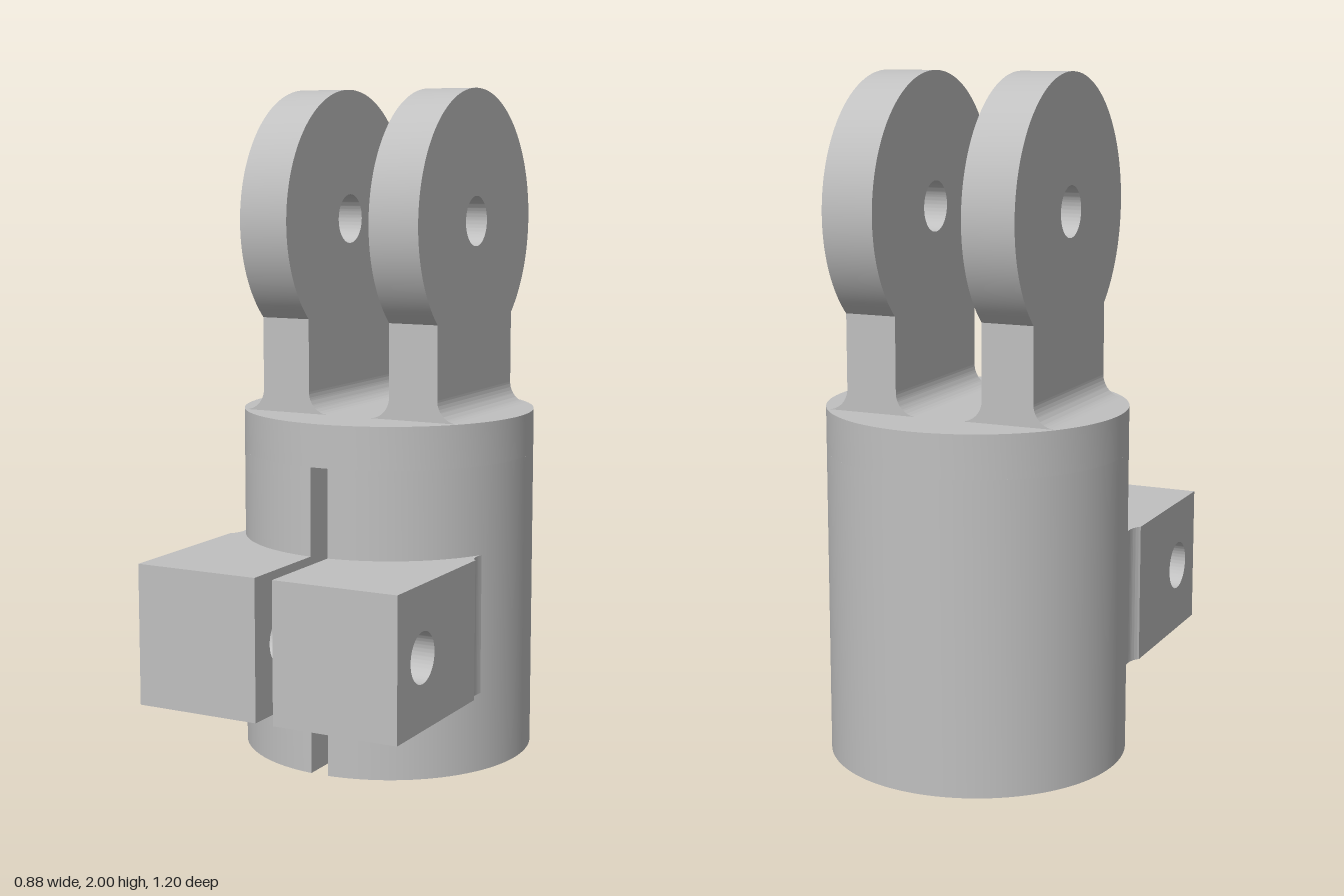
import * as THREE from 'three';
import { toCreasedNormals } from 'three/addons/utils/BufferGeometryUtils.js';

const CZ = -0.157;      // axis of the socket
const R = 0.442, BORE = 0.254, SLOT = 0.028;
const TOP = 1.042, BORE_TOP = 0.915;

export function createModel() {
  const model = new THREE.Group();
  model.name = 'clampFork';
  const grey = new THREE.MeshStandardMaterial({ color: 0xc0c0c0 });
  grey.name = 'plain grey';

  const extrude = (shape, depth) =>
    new THREE.ExtrudeGeometry(shape, { depth, bevelEnabled: false, curveSegments: 64 });
  // shape in (x, z), raised from y0 to y1
  const upright = (shape, y0, y1) => extrude(shape, y1 - y0).rotateX(Math.PI / 2).translate(0, y1, 0);
  // shape in (z, y), spanning x0 to x1
  const sideways = (shape, x0, x1) => extrude(shape, x1 - x0).rotateY(-Math.PI / 2).translate(x1, 0, 0);
  const add = (name, geometry, parent = model) => {
    const mesh = new THREE.Mesh(toCreasedNormals(geometry, 0.4), grey);
    mesh.name = name;
    parent.add(mesh);
  };
  const addHole = (shape, x, y, r) => {
    shape.holes.push(new THREE.Path().absarc(x, y, r, 0, Math.PI * 2, true));
    return shape;
  };

  // Split tube, open at the bottom and slotted at the front
  const ao = Math.asin(SLOT / R), ai = Math.asin(SLOT / BORE), q = Math.PI / 2;
  const tube = new THREE.Shape()
    .absarc(0, CZ, R, q + ao, q + Math.PI * 2 - ao, false)
    .absarc(0, CZ, BORE, q + Math.PI * 2 - ai, q + ai, true);
  tube.closePath();
  add('splitSocket', upright(tube, 0, BORE_TOP));

  // Solid cap above the bore
  add('socketCap', upright(new THREE.Shape().absarc(0, CZ, R, 0, Math.PI * 2, false), BORE_TOP, TOP));

  for (const [side, s] of [['left', 1], ['right', -1]]) {
    const span = (a, b) => (s > 0 ? [a, b] : [-b, -a]);

    // Clamp ear with a cross bolt hole
    const ear = new THREE.Group();
    ear.name = side + 'ClampEar';
    model.add(ear);
    const block = new THREE.Shape([[0.105, 0.237], [0.598, 0.237], [0.598, 0.652], [0.105, 0.652]]
      .map(([z, y]) => new THREE.Vector2(z, y)));
    add(side + 'EarBlock', sideways(addHole(block, 0.445, 0.445, 0.074), ...span(SLOT, 0.415)), ear);

    // Curved root blending the ear into the socket
    const root = new THREE.Shape();
    root.moveTo(s * 0.3, 0.105);
    root.lineTo(s * 0.415, 0.105);
    root.quadraticCurveTo(s * 0.39, 0.08, s * 0.401, 0.027);
    root.lineTo(s * 0.36, 0);
    root.closePath();
    add(side + 'EarRoot', upright(root, 0.237, 0.652), ear);

    // Fork lug: round eye on a straight neck
    const lug = new THREE.Group();
    lug.name = side + 'ForkLug';
    model.add(lug);
    const f = 0.065, z = -0.156, w = 0.26, r = 0.388, eyeY = 1.612;
    const a = Math.acos(w / r);
    const eye = new THREE.Shape();
    eye.moveTo(z - w, TOP + f);
    eye.lineTo(z + w, TOP + f);
    eye.absarc(z, eyeY, r, -a, Math.PI + a, false);
    eye.closePath();
    add(side + 'Eye', sideways(addHole(eye, z, eyeY, 0.074), ...span(0.134, 0.29)), lug);

    // Flared foot with a fillet on both faces
    const [x0, x1] = span(0.134, 0.29);
    const foot = new THREE.Shape();
    foot.moveTo(x0 - f, TOP);
    foot.lineTo(x1 + f, TOP);
    foot.absarc(x1 + f, TOP + f, f, -q, -Math.PI, true);
    foot.lineTo(x0, TOP + f);
    foot.absarc(x0 - f, TOP + f, f, 0, -q, true);
    add(side + 'LugFoot', extrude(foot, 2 * w).translate(0, 0, z - w), lug);
  }
  return model;
}
